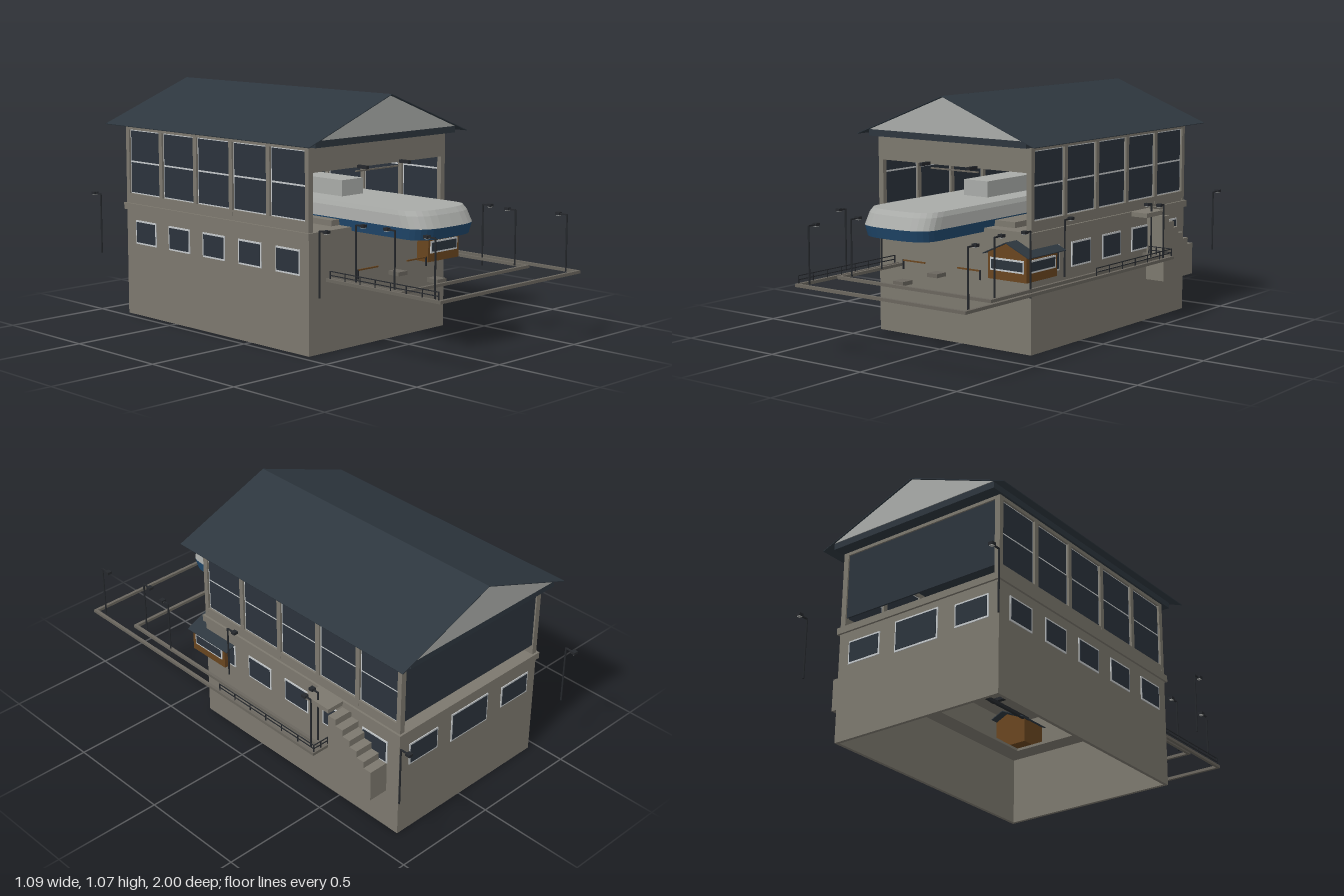
import * as THREE from 'three';

const mat = (name, color, side = THREE.FrontSide) => {
  const m = new THREE.MeshStandardMaterial({ color, side });
  m.name = name;
  return m;
};

export function createModel() {
  const wall = mat('warm grey concrete', 0x7c786e);
  const dark = mat('slate roof', 0x2d363e, THREE.DoubleSide);
  const glass = mat('dark glass', 0x2b333c);
  const light = mat('light grey', 0xa9aba8);
  const frame = mat('window frame', 0xc4c8ca);
  const blue = mat('blue panel', 0x20486c);
  const wood = mat('brown wood', 0x69451f);
  const pole = mat('black metal', 0x25282c);
  const kerbMat = mat('kerb grey', 0x6a665e);
  const red = mat('red paint', 0xb41e2c);

  const root = new THREE.Group();
  const CX = -0.04; // building centre line

  const group = (name, parent = root) => {
    const g = new THREE.Group();
    g.name = name;
    parent.add(g);
    return g;
  };
  const add = (name, geo, m, parent = root) => {
    const mesh = new THREE.Mesh(geo, m);
    mesh.name = name;
    parent.add(mesh);
    return mesh;
  };
  // Box from its limits on each axis
  const box = (name, m, x0, x1, y0, y1, z0, z1, parent) => {
    const mesh = add(name, new THREE.BoxGeometry(x1 - x0, y1 - y0, z1 - z0), m, parent);
    mesh.position.set((x0 + x1) / 2, (y0 + y1) / 2, (z0 + z1) / 2);
    return mesh;
  };
  // Framed window plate facing +z, turned to face the given angle
  const windowPlate = (x, y, z, w, h, angle, parent = root, bars = 0) => {
    const g = group('window', parent);
    add('windowFrame', new THREE.BoxGeometry(w, h, 0.005), frame, g);
    const n = bars + 1, ph = (h - 0.008 * (n + 1)) / n;
    for (let i = 0; i < n; i++) {
      const p = add('windowGlass', new THREE.BoxGeometry(w - 0.014, ph, 0.009), glass, g);
      p.position.y = -h / 2 + 0.008 + ph / 2 + i * (ph + 0.008);
    }
    g.position.set(x, y, z);
    g.rotation.y = angle;
  };
  const rectShape = (C, x0, x1, y0, y1) => {
    const s = new C();
    s.moveTo(x0, y0); s.lineTo(x1, y0); s.lineTo(x1, y1); s.lineTo(x0, y1); s.closePath();
    return s;
  };

  // Lower storey: four walls, open underneath
  const base = group('lowerStorey');
  box('frontWall', wall, -0.46, 0.38, 0, 0.49, 0.345, 0.36, base);
  box('backWall', wall, -0.46, 0.38, 0, 0.49, -0.845, -0.83, base);
  for (const [n, x] of [['leftWall', 0.365], ['rightWall', -0.46]])
    box(n, wall, x, x + 0.015, 0, 0.49, -0.83, 0.345, base);
  box('floorBand', wall, -0.47, 0.39, 0.49, 0.52, -0.855, 0.37, base);

  // Lower floor with a machine opening
  const floor = rectShape(THREE.Shape, -0.445, 0.365, -0.345, 0.83);
  floor.holes.push(rectShape(THREE.Path, -0.38, 0.28, -0.26, 0.74));
  const floorMesh = add('lowerFloor', new THREE.ExtrudeGeometry(floor, { depth: 0.012, bevelEnabled: false }), wall, base);
  floorMesh.rotation.x = -Math.PI / 2;
  floorMesh.position.y = 0.305;

  // Lower windows on both sides and the back
  for (let i = 0; i < 5; i++) {
    const z = 0.235 - i * 0.235;
    windowPlate(0.381, 0.39, z, 0.146, 0.11, Math.PI / 2, base);
    windowPlate(-0.461, 0.39, z, 0.146, 0.11, -Math.PI / 2, base);
  }
  for (const [x, w, h] of [[0.24, 0.17, 0.105], [CX, 0.225, 0.14], [-0.325, 0.17, 0.105]])
    windowPlate(x, 0.39, -0.846, w, h, Math.PI, base);

  // Upper hall: pillars, sills, tall windows, front beam
  const hall = group('upperHall');
  for (const s of [-1, 1]) {
    const x = CX + s * 0.4075;
    box('sill', wall, x - 0.0125, x + 0.0125, 0.52, 0.565, -0.845, 0.36, hall);
    box('topRail', wall, x - 0.0125, x + 0.0125, 0.86, 0.88, -0.845, 0.36, hall);
    for (let i = 0; i < 6; i++) {
      const z = 0.349 - i * 0.2366;
      box('pillar', wall, x - 0.0127, x + 0.0127, 0.52, 0.88, z - 0.011, z + 0.011, hall);
      if (i < 5) windowPlate(x, 0.7125, z - 0.1183, 0.216, 0.3, s * Math.PI / 2, hall, 1);
    }
  }
  box('backGlass', glass, -0.435, 0.355, 0.565, 0.865, -0.838, -0.83, hall);
  box('backBeam', wall, -0.46, 0.38, 0.862, 0.88, -0.845, -0.82, hall);
  box('frontBeam', wall, -0.46, 0.38, 0.768, 0.88, 0.335, 0.36, hall);
  box('lampBar', kerbMat, -0.17, 0.09, 0.746, 0.752, 0.34, 0.35, hall);
  for (const x of [-0.17, 0.09]) box('floodlight', pole, x - 0.008, x + 0.008, 0.764, 0.778, 0.36, 0.415, hall);
  box('machineBase', wall, -0.27, 0.25, 0.52, 0.545, -0.6, 0.3, hall);

  // Roof: soffit slab, light gable prism, two thin slopes
  const roof = group('roof');
  box('soffit', dark, -0.47, 0.39, 0.876, 0.906, -0.9, 0.41, roof);
  const tri = new THREE.Shape();
  tri.moveTo(CX - 0.425, 0.905); tri.lineTo(CX + 0.425, 0.905); tri.lineTo(CX, 1.068);
  add('gable', new THREE.ExtrudeGeometry(tri, { depth: 1.315, bevelEnabled: false }), light, roof).position.z = -0.903;
  const pitch = Math.atan2(0.187, 0.485);
  for (const s of [-1, 1]) {
    const slope = add('roofSlope', new THREE.BoxGeometry(0.52, 0.003, 1.34), dark, roof);
    slope.position.set(CX + s * 0.2425, 0.977, -0.24);
    slope.rotation.z = -s * pitch;
  }

  // Lift housing: rings with a rounded nose, lofted upward
  const ring = ([y, w, nose]) => {
    const pts = [];
    for (let i = 0; i <= 14; i++) {
      const a = (i / 14) * Math.PI, c = Math.cos(a);
      pts.push([CX + w * Math.sign(c) * Math.abs(c) ** 0.65, y, nose - 0.11 + 0.11 * Math.sin(a) ** 0.75]);
    }
    pts.push([CX - w, y, -0.45], [CX + w, y, -0.45]);
    return pts;
  };
  const loft = (specs) => {
    const rings = specs.map(ring), n = rings[0].length, v = [];
    const top = rings.length - 1;
    const lowC = [CX, specs[0][0], 0.1], topC = [CX, specs[top][0], 0.1];
    for (let i = 0; i < n; i++) {
      const j = (i + 1) % n;
      for (let r = 0; r < top; r++) {
        const l = rings[r], u = rings[r + 1];
        v.push(...l[i], ...u[i], ...u[j], ...l[i], ...u[j], ...l[j]);
      }
      v.push(...lowC, ...rings[0][i], ...rings[0][j], ...topC, ...rings[top][j], ...rings[top][i]);
    }
    const g = new THREE.BufferGeometry();
    g.setAttribute('position', new THREE.Float32BufferAttribute(v, 3));
    g.computeVertexNormals();
    return g;
  };
  const lift = group('liftHousing');
  add('lowerShell', loft([[0.503, 0.178, 0.765], [0.55, 0.185, 0.777]]), blue, lift);
  add('upperShell', loft([[0.55, 0.185, 0.777], [0.6, 0.18, 0.752], [0.62, 0.172, 0.735]]), light, lift);
  box('driveBox', light, -0.105, 0.025, 0.62, 0.69, -0.2, 0.2, lift);

  // Cabin and machinery seen through the floor opening
  const cabin = group('cabin');
  box('cabinBody', red, -0.355, -0.265, 0.31, 0.355, 0.09, 0.2, cabin);
  box('cabinWindows', glass, -0.353, -0.267, 0.355, 0.395, 0.092, 0.198, cabin);
  box('cabinRoof', light, -0.35, -0.27, 0.395, 0.41, 0.095, 0.195, cabin);
  const machine = group('machinery');
  for (const x of [-0.33, -0.19, 0.1, 0.2]) box('trackBeam', pole, x, x + 0.015, 0.43, 0.445, -0.72, 0.24, machine);
  for (const z of [-0.5, -0.25, 0]) {
    box('crossBeam', pole, -0.34, 0.24, 0.445, 0.46, z, z + 0.02, machine);
    box('motor', kerbMat, -0.08, 0.0, 0.36, 0.43, z - 0.05, z + 0.06, machine);
  }

  // Walkway kerbs, two loops around the front and left side
  const kerbs = group('walkwayKerbs');
  const kerbLoop = (x0, x1, zf) => {
    box('kerb', kerbMat, x0, x0 + 0.014, 0.304, 0.317, 0.36, zf, kerbs);
    box('kerb', kerbMat, x0, x1, 0.304, 0.317, zf - 0.014, zf, kerbs);
    box('kerb', kerbMat, x1 - 0.014, x1, 0.304, 0.317, -0.505, zf, kerbs);
  };
  kerbLoop(-0.362, 0.54, 0.995);
  kerbLoop(-0.34, 0.484, 0.765);
  box('kerb', kerbMat, 0.38, 0.54, 0.304, 0.317, -0.505, -0.491, kerbs);

  // Thin railings between two points
  const railing = (xa, za, xb, zb, n) => {
    const g = group('railing');
    const r = 0.0018;
    for (let i = 0; i <= n; i++) {
      const x = xa + (xb - xa) * i / n, z = za + (zb - za) * i / n;
      box('railPost', pole, x - r, x + r, 0.315, 0.35, z - r, z + r, g);
    }
    for (const y of [0.333, 0.35])
      box('rail', pole, Math.min(xa, xb) - r, Math.max(xa, xb) + r, y - r, y + r, Math.min(za, zb) - r, Math.max(za, zb) + r, g);
  };
  railing(-0.355, 0.38, -0.355, 0.98, 7);
  railing(0.53, -0.5, 0.53, 0.1, 6);
  railing(0.41, -0.498, 0.53, -0.498, 3);

  // Gates and small benches at the boarding area
  for (const s of [-1, 1]) {
    const xo = CX + s * 0.213, xi = CX + s * 0.09;
    box('gatePost', pole, xo - 0.003, xo + 0.003, 0.31, 0.352, 0.437, 0.443);
    box('gateBar', wood, Math.min(xo, xi), Math.max(xo, xi), 0.346, 0.352, 0.437, 0.443);
  }
  for (const z of [0.47, 0.69]) box('bench', kerbMat, -0.067, -0.013, 0.305, 0.322, z - 0.03, z + 0.03);

  // Wooden ticket hut
  const hut = group('hut');
  const hs = new THREE.Shape();
  [[0.203, 0.32], [0.405, 0.32], [0.405, 0.432], [0.304, 0.478], [0.203, 0.432]].forEach((p, i) => (i ? hs.lineTo(...p) : hs.moveTo(...p)));
  add('hutBody', new THREE.ExtrudeGeometry(hs, { depth: 0.215, bevelEnabled: false }), wood, hut).position.z = 0.21;
  for (const s of [-1, 1]) {
    const p = add('hutRoof', new THREE.BoxGeometry(0.132, 0.004, 0.265), dark, hut);
    p.position.set(0.304 + s * 0.06, 0.4535, 0.305);
    p.rotation.z = -s * Math.atan2(0.046, 0.101);
  }
  windowPlate(0.304, 0.385, 0.426, 0.176, 0.055, 0, hut);
  windowPlate(0.406, 0.385, 0.315, 0.18, 0.055, Math.PI / 2, hut);

  // Side stairs with landing
  const st = new THREE.Shape();
  st.moveTo(0.525, 0.19);
  st.lineTo(0.525, 0.49);
  for (let i = 0; i < 6; i++) {
    const y = 0.49 - i * 0.031, z = 0.525 + (i + 1) * 0.0417;
    st.lineTo(z, y);
    st.lineTo(z, i < 5 ? y - 0.031 : 0.19);
  }
  const stairs = add('stairs', new THREE.ExtrudeGeometry(st, { depth: 0.095, bevelEnabled: false }), wall);
  stairs.rotation.y = Math.PI / 2;
  stairs.position.x = 0.378;
  box('landing', wall, 0.38, 0.473, 0.5, 0.52, -0.525, -0.38);

  // Lamp posts: x, pole z, foot height, head offset in z
  const lamps = [
    [-0.535, 0.5, 0.28, 0.04], [0.48, 0.5, 0.28, 0.04], [-0.535, -0.945, 0.28, -0.045], [0.48, -0.945, 0.28, -0.045],
    [-0.312, 0.705, 0.31, -0.045], [0.455, 0.705, 0.31, -0.045], [-0.332, 0.94, 0.31, -0.045], [0.51, 0.94, 0.31, -0.045],
    [0.51, -0.46, 0.31, 0.035], [0.455, -0.445, 0.31, 0.035], [0.415, 0.17, 0.31, -0.045], [-0.325, 0.5, 0.31, 0.04],
  ];
  for (const [x, z, y, d] of lamps) {
    const g = group('lampPost');
    const p = add('lampPole', new THREE.CylinderGeometry(0.004, 0.004, 0.556 - y, 8), pole, g);
    p.position.set(x, (0.556 + y) / 2, z);
    box('lampArm', pole, x - 0.003, x + 0.003, 0.552, 0.558, Math.min(z, z + d), Math.max(z, z + d), g);
    box('lampHead', pole, x - 0.011, x + 0.011, 0.55, 0.562, z + d - 0.011, z + d + 0.011, g);
    box('lampLens', light, x - 0.008, x + 0.008, 0.547, 0.55, z + d - 0.008, z + d + 0.008, g);
  }

  return root;
}
